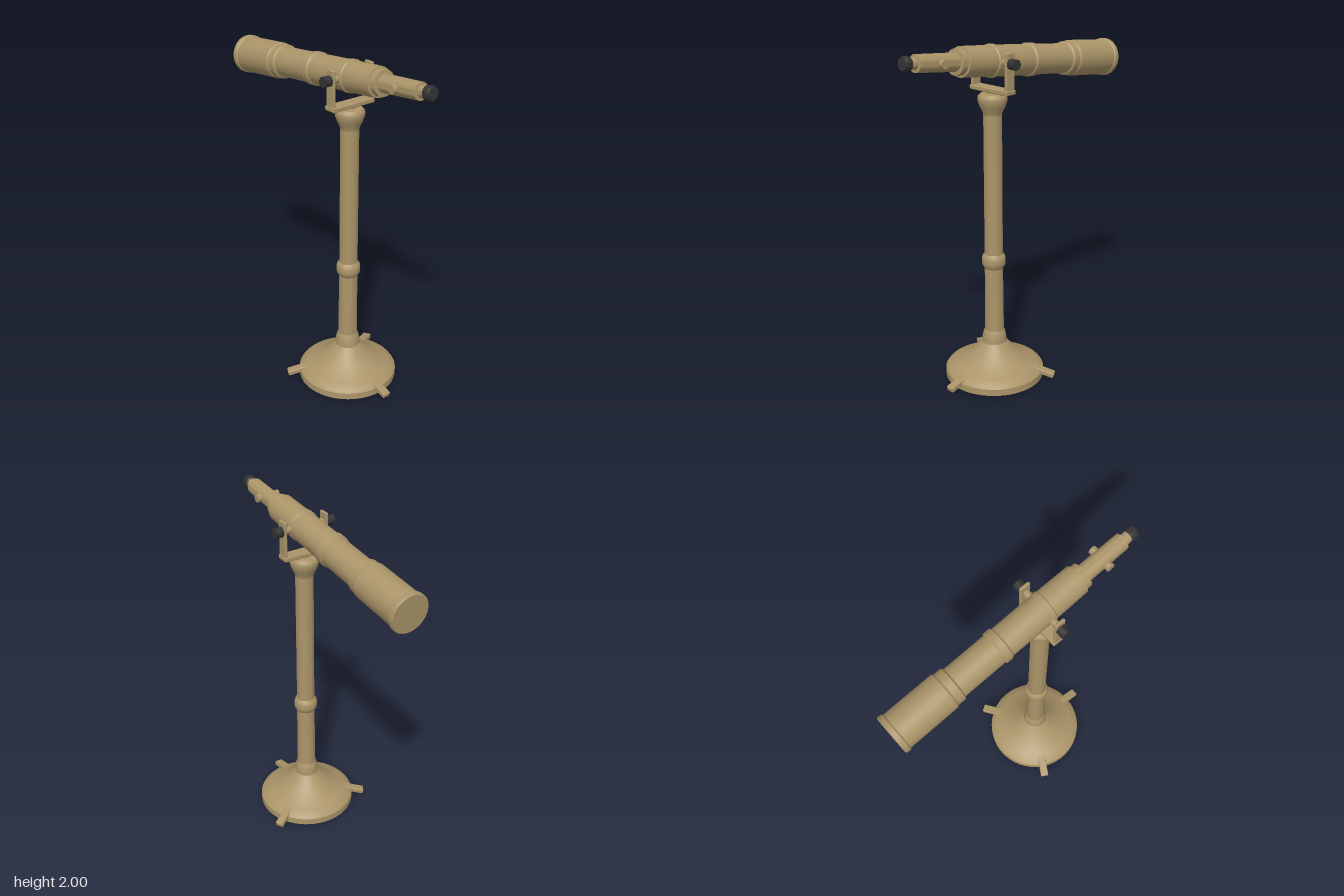
import * as THREE from 'three';
import { toCreasedNormals } from 'three/addons/utils/BufferGeometryUtils.js';
import { RoundedBoxGeometry } from 'three/addons/geometries/RoundedBoxGeometry.js';

const brass = new THREE.MeshStandardMaterial({ color: 0xab9569 });
brass.name = 'brass';
const black = new THREE.MeshStandardMaterial({ color: 0x333333 });
black.name = 'black';

const PIVOT_Y = 1.89;
const TILT = THREE.MathUtils.degToRad(6.05);

function add(parent, name, geometry, material, x = 0, y = 0, z = 0) {
  const mesh = new THREE.Mesh(geometry, material);
  mesh.name = name;
  mesh.position.set(x, y, z);
  parent.add(mesh);
  return mesh;
}

// Turned part from [radius, height] pairs, bottom to top
function turned(profile, segments = 48) {
  const points = profile.map(([r, y]) => new THREE.Vector2(r, y));
  return toCreasedNormals(new THREE.LatheGeometry(points, segments), 0.6);
}

// Cylinder lying along x
function crossCylinder(radius, length, segments = 24) {
  return new THREE.CylinderGeometry(radius, radius, length, segments).rotateZ(Math.PI / 2);
}

function buildStand() {
  const stand = new THREE.Group();
  stand.name = 'stand';
  add(stand, 'base', turned([
    [0, 0], [0.293, 0], [0.293, 0.04], [0.283, 0.054], [0.245, 0.073], [0.2, 0.096],
    [0.16, 0.125], [0.125, 0.155], [0.1, 0.18], [0.083, 0.2], [0.072, 0.212],
    [0.07, 0.25], [0.062, 0.28], [0.055, 0.295], [0, 0.295],
  ], 64), brass);
  add(stand, 'lowerColumn', turned([[0.057, 0.28], [0.053, 0.72]]), brass);
  add(stand, 'columnCollar', turned([
    [0.053, 0.685], [0.067, 0.705], [0.069, 0.72], [0.069, 0.745], [0.065, 0.76], [0.052, 0.775],
  ]), brass);
  add(stand, 'upperColumn', turned([[0.053, 0.76], [0.052, 1.61]]), brass);
  add(stand, 'columnHead', turned([
    [0.052, 1.595], [0.058, 1.615], [0.071, 1.64], [0.08, 1.665], [0.083, 1.685],
    [0.08, 1.7], [0.068, 1.712], [0.03, 1.714], [0.03, 1.73],
  ]), brass);

  // Three sloping feet, one towards the front
  for (let i = 0; i < 3; i++) {
    const foot = new THREE.Group();
    foot.name = 'foot';
    foot.rotation.y = (i * Math.PI * 2) / 3;
    const bar = add(foot, 'footBar', new RoundedBoxGeometry(0.05, 0.032, 0.165, 2, 0.007), brass, 0, 0.045, 0.288);
    bar.rotation.x = 0.26;
    stand.add(foot);
  }
  return stand;
}

function buildYoke() {
  const yoke = new THREE.Group();
  yoke.name = 'yoke';
  add(yoke, 'yokePlate', new RoundedBoxGeometry(0.286, 0.026, 0.076, 2, 0.006), brass, 0, 1.734, 0);
  for (const side of [-1, 1]) {
    add(yoke, 'yokeArm', new RoundedBoxGeometry(0.018, 0.222, 0.064, 2, 0.007), brass, side * 0.131, 1.837, 0);
    add(yoke, 'pivotShaft', crossCylinder(0.02, 0.075), brass, side * 0.105, PIVOT_Y, 0);
    add(yoke, 'clampKnob', crossCylinder(0.029, 0.046), black, side * 0.163, PIVOT_Y, 0);
  }
  return yoke;
}

function buildTelescope() {
  // Local y runs along the tube towards the eyepiece
  const telescope = new THREE.Group();
  telescope.name = 'telescope';
  telescope.position.y = PIVOT_Y;
  telescope.rotation.x = Math.PI / 2 - TILT;
  add(telescope, 'objectiveTube', turned([
    [0, -0.968], [0.106, -0.968], [0.112, -0.962], [0.112, -0.938], [0.105, -0.93],
    [0.104, -0.632], [0.097, -0.622], [0.097, -0.578], [0.086, -0.57], [0.086, -0.5],
  ]), brass);
  add(telescope, 'mainTube', turned([
    [0.086, -0.57], [0.086, -0.312], [0.094, -0.306], [0.094, -0.268], [0.086, -0.26],
    [0.086, -0.005], [0.091, 0], [0.091, 0.024], [0.085, 0.03], [0.082, 0.235],
    [0.071, 0.237], [0.07, 0.272], [0.046, 0.275],
  ]), brass);
  add(telescope, 'drawTube', turned([
    [0.05, 0.26], [0.047, 0.54], [0.032, 0.542], [0.031, 0.585],
  ], 32), brass);
  add(telescope, 'focusKnob', crossCylinder(0.024, 0.14), brass, 0, 0.398, 0);
  add(telescope, 'eyepiece', turned([
    [0, 0.578], [0.034, 0.578], [0.038, 0.583], [0.038, 0.612], [0.033, 0.622], [0, 0.622],
  ], 32), black);
  return telescope;
}

export function createModel() {
  const model = new THREE.Group();
  model.name = 'pedestalTelescope';
  const body = new THREE.Group();
  body.name = 'body';
  body.position.set(-0.005, 0, 0.175);
  body.add(buildStand(), buildYoke(), buildTelescope());
  model.add(body);
  return model;
}
